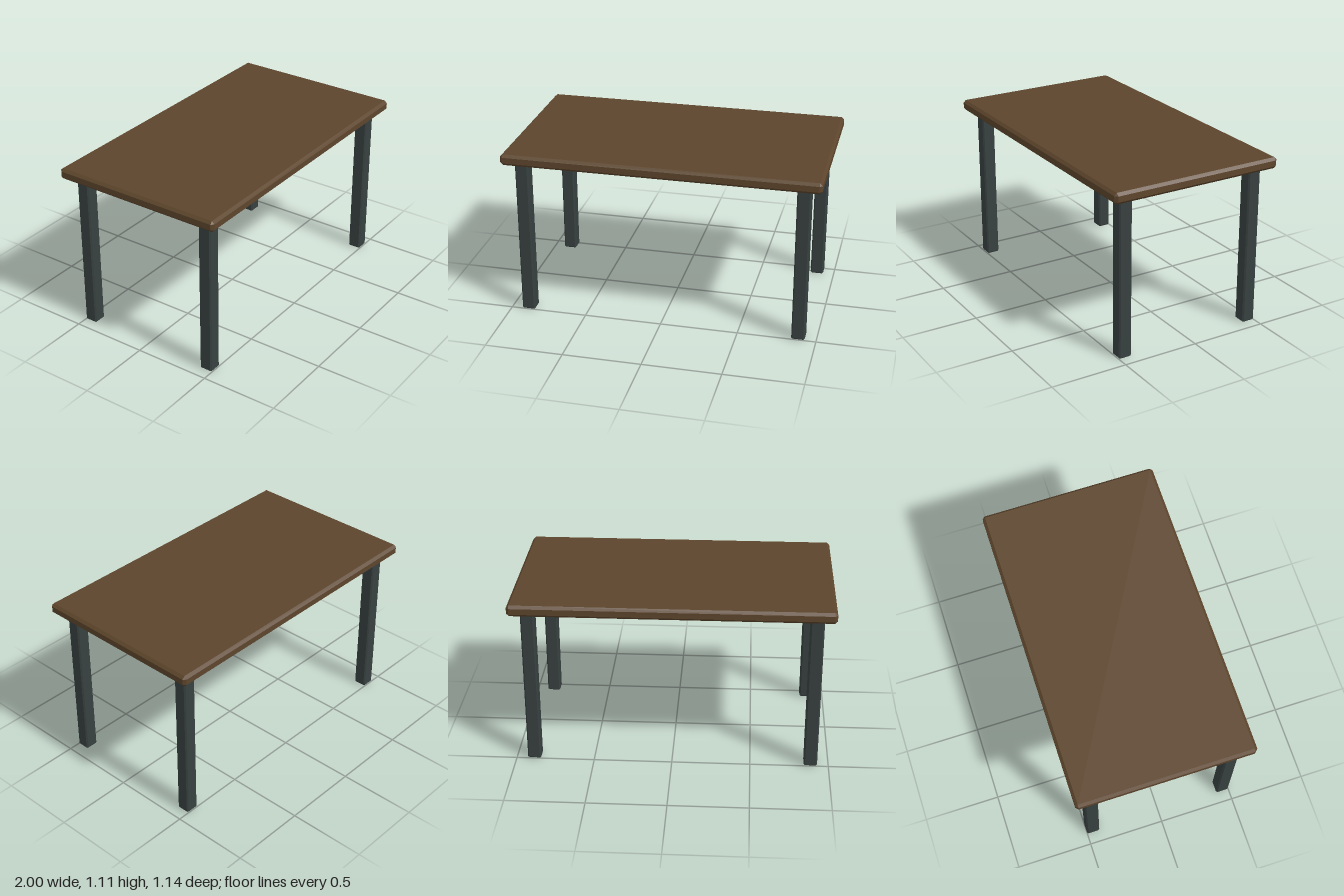
import * as THREE from 'three';
import { ConvexGeometry } from 'three/addons/geometries/ConvexGeometry.js';

// Box with every edge cut by a flat chamfer c
function chamferBox(w, h, d, c) {
  const points = [];
  for (const sx of [-1, 1]) for (const sy of [-1, 1]) for (const sz of [-1, 1]) {
    for (let full = 0; full < 3; full++) {
      const inset = (axis) => (axis === full ? 0 : c);
      points.push(new THREE.Vector3(
        sx * (w / 2 - inset(0)),
        sy * (h / 2 - inset(1)),
        sz * (d / 2 - inset(2))
      ));
    }
  }
  return new ConvexGeometry(points);
}

export function createModel() {
  const table = new THREE.Group();
  table.name = 'table';

  const wood = new THREE.MeshStandardMaterial({ color: 0x5d452c });
  wood.name = 'brown wood';
  const metal = new THREE.MeshStandardMaterial({ color: 0x384040 });
  metal.name = 'dark grey metal';

  // Table top, floating just clear of the legs
  const top = new THREE.Mesh(chamferBox(2, 0.0714, 1.1429, 0.017), wood);
  top.name = 'tableTop';
  top.position.y = 1.0714;
  table.add(top);

  // Four square legs
  const legHeight = 1.0286;
  const legGeometry = chamferBox(0.0857, legHeight, 0.0857, 0.0086);
  for (const [side, x] of [['Left', 0.8857], ['Right', -0.8857]]) {
    for (const [end, z] of [['front', 0.4571], ['back', -0.4571]]) {
      const leg = new THREE.Mesh(legGeometry, metal);
      leg.name = `${end}${side}Leg`;
      leg.position.set(x, legHeight / 2, z);
      table.add(leg);
    }
  }

  return table;
}
